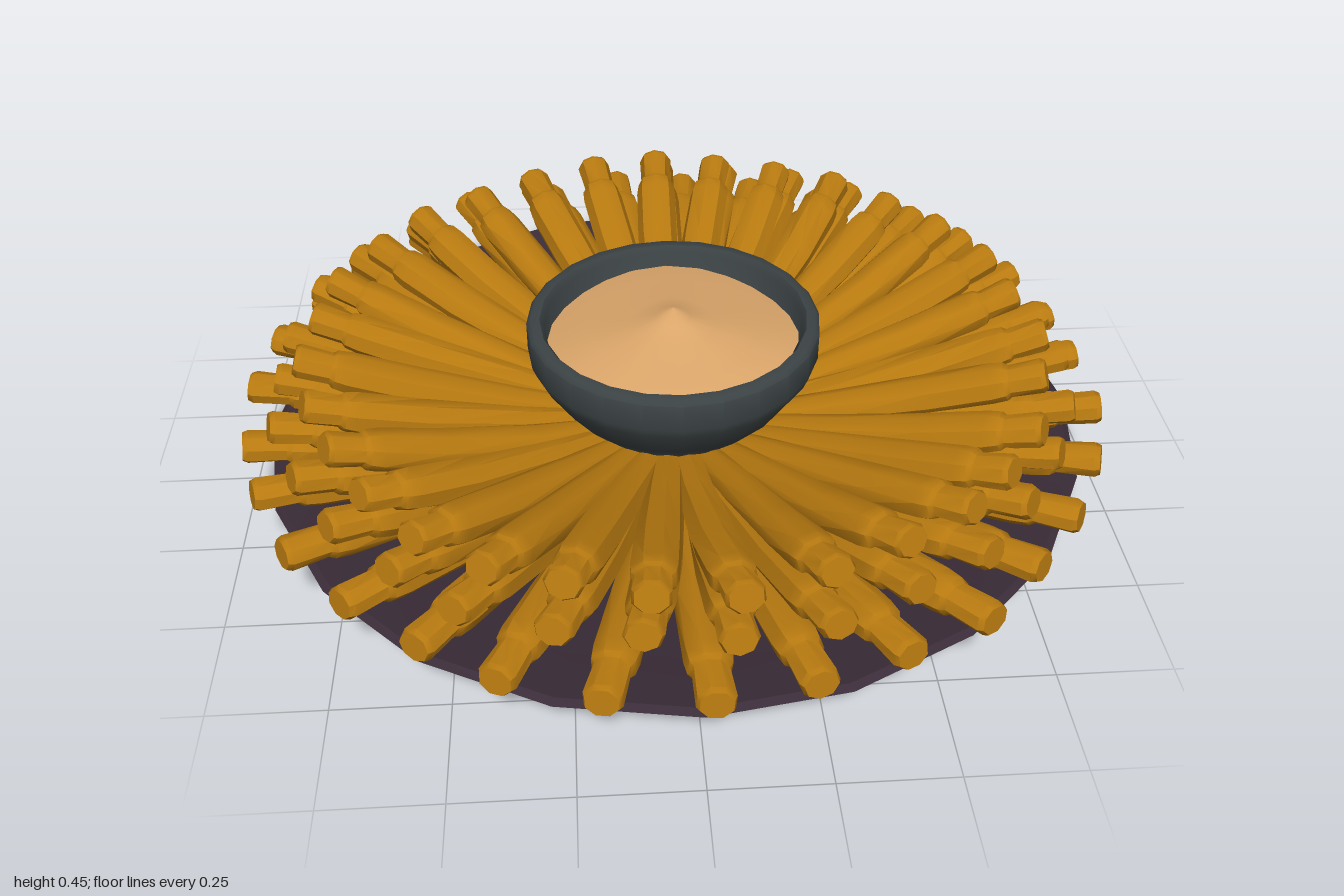
import * as THREE from 'three';
import { toCreasedNormals } from 'three/addons/utils/BufferGeometryUtils.js';

const mat = (color) => new THREE.MeshStandardMaterial({ color, side: THREE.DoubleSide });
const points = (list) => list.map(([x, y]) => new THREE.Vector2(x, y));

// small seeded random in -1..1
function seeded(seed) {
  return () => {
    seed = (seed * 16807) % 2147483647;
    return (seed / 2147483647) * 2 - 1;
  };
}

function lathe(name, profile, segments, material, crease = 0.7) {
  const mesh = new THREE.Mesh(toCreasedNormals(new THREE.LatheGeometry(points(profile), segments), crease), material);
  mesh.name = name;
  return mesh;
}

// one stick: a rounded body with a narrower blunt tip, laid along +z and bent upward
function stickGeometry({ r0, r1, y0, y1, width, bend, sway, twist }) {
  const profile = [
    [0, 0], [0.7, 0.005], [0.85, 0.25], [1, 0.6], [1, 0.82], [0.92, 0.865],
    [0.76, 0.88], [0.82, 0.985], [0.7, 1], [0, 1],
  ];
  const geo = new THREE.LatheGeometry(points(profile), 8);
  const p = geo.attributes.position;
  const slope = Math.atan2(y1 - y0, r1 - r0);
  for (let i = 0; i < p.count; i++) {
    const t = p.getY(i);
    const turn = twist * t;
    const a = p.getX(i) * Math.cos(turn) - p.getZ(i) * Math.sin(turn);
    const b = p.getX(i) * Math.sin(turn) + p.getZ(i) * Math.cos(turn);
    const lift = b * width * 0.9;
    p.setXYZ(
      i,
      -a * width + sway * Math.sin(t * Math.PI),
      y0 + (y1 - y0) * t - bend * Math.sin(t * Math.PI) + lift * Math.cos(slope),
      r0 + (r1 - r0) * t - lift * Math.sin(slope),
    );
  }
  return toCreasedNormals(geo, 0.75);
}

export function createModel() {
  const model = new THREE.Group();
  const gold = mat(0xb87a10);

  // wide shallow plate
  model.add(lathe('plate', [
    [0, 0.005], [0.6, 0.005], [0.68, 0.015], [0.8, 0.075], [0.945, 0.15],
    [0.93, 0.16], [0.8, 0.135], [0.66, 0.095], [0, 0.085],
  ], 20, mat(0x3a2c38)));

  // dip bowl
  model.add(lathe('bowl', [
    [0, 0.09], [0.19, 0.09], [0.205, 0.18], [0.27, 0.25], [0.325, 0.335], [0.335, 0.36],
    [0.335, 0.425], [0.325, 0.435], [0.305, 0.435], [0.295, 0.42], [0.285, 0.34], [0.2, 0.25], [0, 0.22],
  ], 24, mat(0x3c4345), 0.8));

  // dip with a small central peak and uneven surface
  const dip = lathe('dip', [
    [0.295, 0.375], [0.2, 0.398], [0.1, 0.413], [0.04, 0.43], [0, 0.455],
  ], 20, mat(0xdba66a), 1);
  const dp = dip.geometry.attributes.position;
  for (let i = 0; i < dp.count; i++) {
    const x = dp.getX(i), z = dp.getZ(i), r = Math.hypot(x, z);
    dp.setY(i, dp.getY(i) + 0.03 * r * Math.sin(3 * Math.atan2(z, x)));
  }
  dip.geometry.computeVertexNormals();
  dip.geometry = toCreasedNormals(dip.geometry, 1);
  model.add(dip);

  // three overlapping rings of sticks, flaring out and up
  const rings = [
    { name: 'lowerSticks', phase: 5.4, r0: 0.2, r1: 0.985, y0: 0.125, y1: 0.235, width: 0.05, bend: 0.0 },
    { name: 'middleSticks', phase: 1.2, r0: 0.2, r1: 0.915, y0: 0.15, y1: 0.32, width: 0.05, bend: 0.012 },
    { name: 'upperSticks', phase: 0, r0: 0.21, r1: 0.85, y0: 0.175, y1: 0.375, width: 0.051, bend: 0.015 },
  ];
  const count = 31;
  const random = seeded(4217);
  for (const ring of rings) {
    const group = new THREE.Group();
    group.name = ring.name;
    for (let i = 0; i < count; i++) {
      const stick = new THREE.Mesh(stickGeometry({
        ...ring,
        r1: ring.r1 + random() * 0.012,
        y1: ring.y1 + random() * 0.008,
        sway: random() * 0.01,
        twist: random() * 0.8,
      }), gold);
      stick.name = 'stick';
      const angle = THREE.MathUtils.degToRad(ring.phase + (i * 360) / count);
      stick.rotation.y = Math.PI - angle + random() * 0.012;
      group.add(stick);
    }
    model.add(group);
  }
  return model;
}
